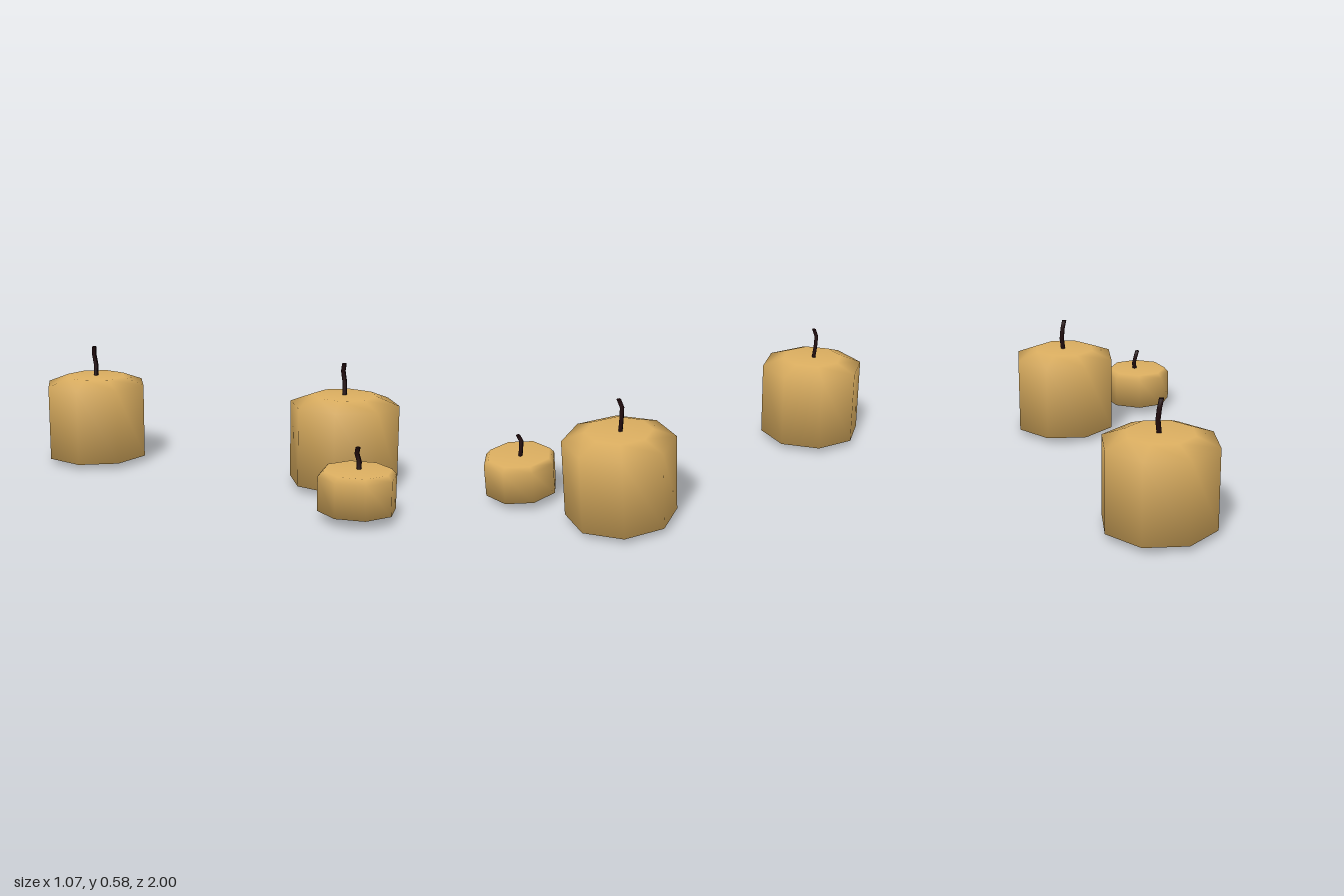
import * as THREE from 'three';

const wax = new THREE.MeshStandardMaterial({ color: 0xdbae60 });
wax.name = 'honey wax';
const char = new THREE.MeshStandardMaterial({ color: 0x1f0a0c });
char.name = 'charred wick';

const SIDES = 8;

// Eight-sided wax body turned from a [radius, height] profile
function makeBody(profile, turn) {
  const points = profile.map(([r, y]) => new THREE.Vector2(r, y));
  const body = new THREE.Mesh(
    new THREE.LatheGeometry(points, SIDES, THREE.MathUtils.degToRad(turn)), wax);
  body.name = 'waxBody';
  return body;
}

// Bent wick: each ring of a capped cylinder is moved onto a path point
function makeWick(path) {
  const rows = path.length - 1;
  const geo = new THREE.CylinderGeometry(1, 1, 1, 6, rows);
  const pos = geo.attributes.position;
  for (let i = 0; i < pos.count; i++) {
    const [x, y, z] = path[Math.round((pos.getY(i) + 0.5) * rows)];
    pos.setXYZ(i, x + pos.getX(i) * 0.012, y, z + pos.getZ(i) * 0.010);
  }
  geo.computeVertexNormals();
  const wick = new THREE.Mesh(geo, char);
  wick.name = 'wick';
  return wick;
}

function makeCandle(name, x, z, profile, turn, wickPath) {
  const candle = new THREE.Group();
  candle.name = name;
  candle.add(makeBody(profile, turn), makeWick(wickPath));
  candle.position.set(x, 0, z);
  return candle;
}

export function createModel() {
  const model = new THREE.Group();
  model.name = 'candles';

  // Tall candle: shallow pointed base, straight sides, sloped shoulder
  const tall = [[0, 0.003], [0.256, 0.03], [0.256, 0.395], [0.152, 0.435], [0, 0.435]];
  const tallWick = [[0.004, 0.42, -0.004], [0.011, 0.49, -0.01], [0.005, 0.545, -0.016], [-0.002, 0.583, -0.004]];

  // Small candle: flat base and narrow bevel
  const small = [[0, 0.045], [0.172, 0.045], [0.172, 0.196], [0.15, 0.22], [0, 0.22]];
  const smallWick = [[0.013, 0.21, -0.002], [0.018, 0.25, -0.007], [0.009, 0.288, -0.013], [0.001, 0.318, -0.001]];

  model.add(
    makeCandle('frontTallCandle', 0.283, 0.437, tall, -12.4, tallWick),
    makeCandle('backTallCandle', -0.283, -0.75, tall, -12.4, tallWick),
    makeCandle('smallCandle', -0.065, 0.829, small, 8.7, smallWick),
  );
  return model;
}
